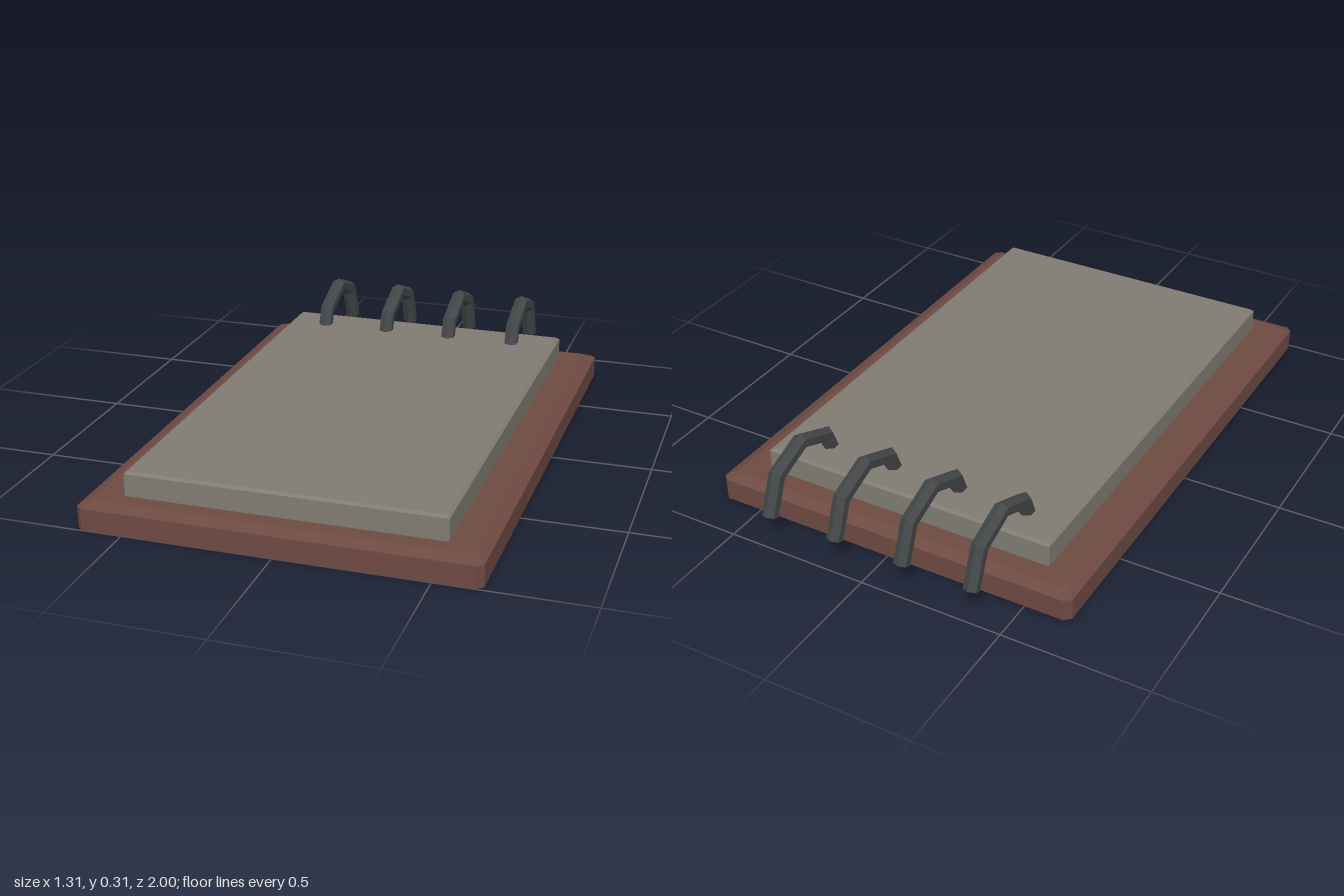
import * as THREE from 'three';

const material = (color) =>
  new THREE.MeshStandardMaterial({ color, flatShading: true, side: THREE.DoubleSide });

// Rectangular slab with cut corners, open underneath; layers are [y, inset] from bottom to top.
function slab(halfX, zBack, zFront, cut, layers) {
  const positions = [];
  const index = [];
  for (const [y, inset] of layers) {
    const x = halfX - inset;
    const b = zBack + inset;
    const f = zFront - inset;
    const outline = [
      [x, f - cut], [x, b + cut], [x - cut, b], [-x + cut, b],
      [-x, b + cut], [-x, f - cut], [-x + cut, f], [x - cut, f],
    ];
    for (const [px, pz] of outline) positions.push(px, y, pz);
  }
  for (let l = 0; l < layers.length - 1; l++) {
    for (let i = 0; i < 8; i++) {
      const a = l * 8 + i;
      const b = l * 8 + ((i + 1) % 8);
      index.push(a, b, b + 8, a, b + 8, a + 8);
    }
  }
  const top = (layers.length - 1) * 8;
  for (let i = 1; i < 7; i++) index.push(top, top + i, top + i + 1);
  const geometry = new THREE.BufferGeometry();
  geometry.setAttribute('position', new THREE.Float32BufferAttribute(positions, 3));
  geometry.setIndex(index);
  geometry.computeVertexNormals();
  return geometry;
}

// Six-sided rod bent along a [z, y] path, with mitred joints.
function bentRod(path, radius) {
  const points = path.map(([z, y]) => new THREE.Vector2(z, y));
  const last = points.length - 1;
  const geometry = new THREE.CylinderGeometry(radius, radius, last, 6, last);
  const normalOf = (i) => {
    const d = points[i + 1].clone().sub(points[i]).normalize();
    return new THREE.Vector2(d.y, -d.x);
  };
  const offsets = points.map((_, i) => {
    const before = normalOf(Math.max(i - 1, 0));
    const after = normalOf(Math.min(i, last - 1));
    const miter = before.clone().add(after).normalize();
    return miter.divideScalar(miter.dot(after));
  });
  const pos = geometry.attributes.position;
  for (let v = 0; v < pos.count; v++) {
    const i = Math.round(pos.getY(v) + last / 2);
    const p = points[i].clone().addScaledVector(offsets[i], pos.getZ(v));
    pos.setXYZ(v, pos.getX(v), p.y, p.x);
  }
  geometry.computeVertexNormals();
  return geometry;
}

export function createModel() {
  const model = new THREE.Group();
  model.name = 'ringNotepad';

  // Hollow backing board with a bevelled rim
  const board = new THREE.Mesh(
    slab(0.655, -0.85, 1, 0.02, [[0, 0], [0.075, 0], [0.092, 0.038]]),
    material(0x6e4a42),
  );
  board.name = 'backingBoard';
  model.add(board);

  // Block of pages with a slim top bevel
  const pages = new THREE.Mesh(
    slab(0.528, -0.745, 0.905, 0.003, [[0.092, 0], [0.167, 0], [0.175, 0.01]]),
    material(0x807c72),
  );
  pages.name = 'pages';
  model.add(pages);

  // Four binding rings arching over the back edge
  const rings = new THREE.Group();
  rings.name = 'bindingRings';
  const ringGeometry = bentRod(
    [[-0.62, 0.16], [-0.65, 0.23], [-0.785, 0.284], [-0.918, 0.234], [-0.97, 0.105]],
    0.027,
  );
  const ringMaterial = material(0x444748);
  for (let i = 0; i < 4; i++) {
    const ring = new THREE.Mesh(ringGeometry, ringMaterial);
    ring.name = 'ring' + (i + 1);
    ring.position.x = -0.384 + i * 0.249;
    rings.add(ring);
  }
  model.add(rings);

  return model;
}
